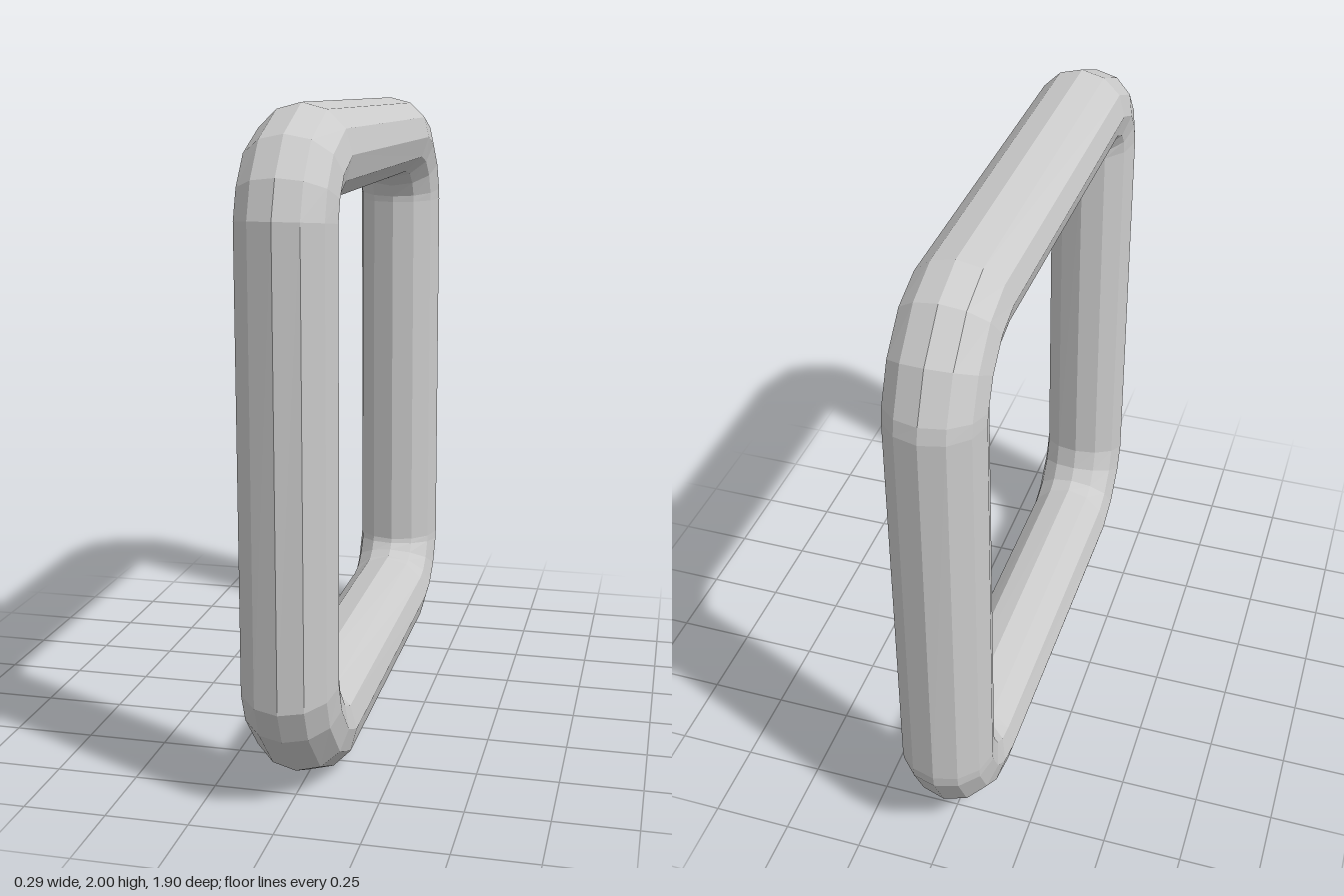
import * as THREE from 'three';

// Cross-sections around the ring: [outer z, outer y, inner z, inner y]
const SECTIONS = [
  // upper front bend
  [0.95, 1.70, 0.66, 1.67], [0.91, 1.81, 0.66, 1.69], [0.82, 1.92, 0.65, 1.705], [0.63, 2.0, 0.63, 1.715],
  // upper back bend
  [-0.60, 2.0, -0.52, 1.73], [-0.74, 1.95, -0.58, 1.72], [-0.86, 1.83, -0.625, 1.69], [-0.925, 1.69, -0.648, 1.65], [-0.935, 1.64, -0.65, 1.63],
  // lower back bend
  [-0.95, 0.36, -0.66, 0.36], [-0.945, 0.32, -0.655, 0.345], [-0.87, 0.17, -0.635, 0.325], [-0.75, 0.07, -0.61, 0.31], [-0.60, 0.025, -0.58, 0.31],
  // lower front bend
  [0.58, 0.0, 0.58, 0.295], [0.75, 0.075, 0.62, 0.31], [0.90, 0.23, 0.65, 0.35], [0.945, 0.33, 0.67, 0.42],
];
const SIDES = 12;
const RADIUS = 0.145;

// Closed tube: each section is a twelve-sided ring spanning its inner and outer points
function ringGeometry() {
  const positions = [];
  const index = [];
  const count = SECTIONS.length;
  SECTIONS.forEach(([oz, oy, iz, iy], i) => {
    const next = (i + 1) % count;
    for (let j = 0; j < SIDES; j++) {
      const angle = (j / SIDES) * Math.PI * 2;
      const t = (1 + Math.cos(angle)) / 2;
      positions.push(RADIUS * Math.sin(angle), iy + (oy - iy) * t, iz + (oz - iz) * t);
      const k = (j + 1) % SIDES;
      const a = i * SIDES + j, b = i * SIDES + k;
      const c = next * SIDES + k, d = next * SIDES + j;
      index.push(a, b, c, a, c, d);
    }
  });
  const geometry = new THREE.BufferGeometry();
  geometry.setAttribute('position', new THREE.Float32BufferAttribute(positions, 3));
  geometry.setIndex(index);
  geometry.computeVertexNormals();
  return geometry;
}

export function createModel() {
  const group = new THREE.Group();
  group.name = 'squareRing';
  const material = new THREE.MeshStandardMaterial({ color: 0xcccccc, flatShading: true });
  const ring = new THREE.Mesh(ringGeometry(), material);
  ring.name = 'roundedSquareTube';
  group.add(ring);
  return group;
}
